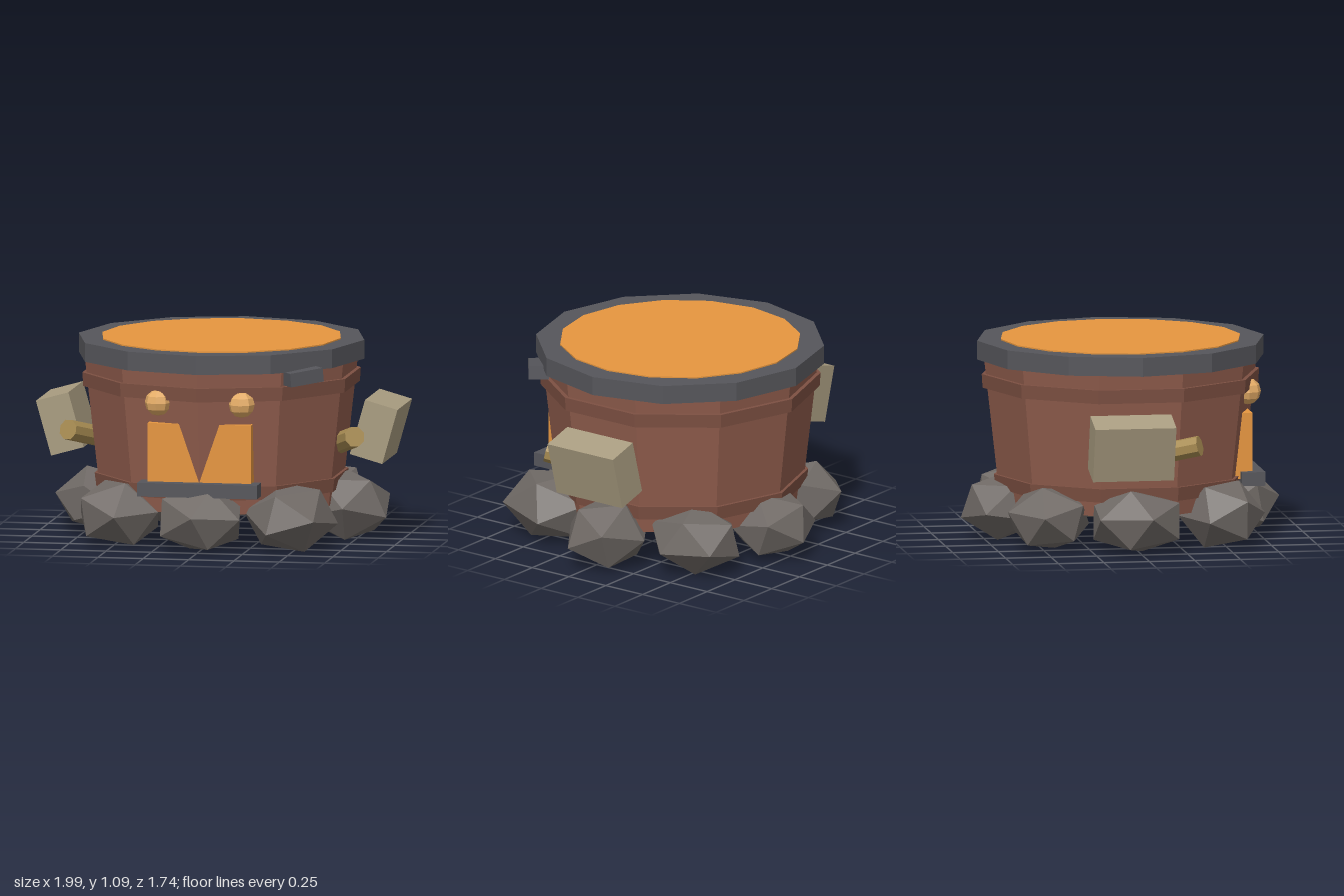
import * as THREE from 'three';

const COLORS = {
  wood: 0x8f5c4c, band: 0x7d5042, iron: 0x56565b, glow: 0xe6963f, eye: 0xe3ab66,
  stone: 0x6f6965, mallet: 0xa99c80, handle: 0xa88c52,
};
const materials = {};
for (const [key, color] of Object.entries(COLORS)) {
  materials[key] = new THREE.MeshStandardMaterial({ color, flatShading: true });
}

export function createModel() {
  const model = new THREE.Group();

  function add(name, geometry, material, x = 0, y = 0, z = 0) {
    const mesh = new THREE.Mesh(geometry, materials[material]);
    mesh.name = name;
    mesh.position.set(x, y, z);
    model.add(mesh);
    return mesh;
  }
  // Upright faceted drum between two heights
  function drum(name, material, rTop, rBottom, y0, y1, sides) {
    return add(name, new THREE.CylinderGeometry(rTop, rBottom, y1 - y0, sides), material, 0, (y0 + y1) / 2, 0);
  }

  // Barrel, hoops, rim and glowing top
  drum('barrel', 'wood', 0.75, 0.66, 0.2, 1.0, 10);
  drum('lowerHoop', 'band', 0.695, 0.685, 0.28, 0.355, 10);
  drum('upperHoop', 'band', 0.762, 0.757, 0.83, 0.905, 10);
  drum('rim', 'iron', 0.787, 0.787, 0.985, 1.088, 12);
  drum('glowingTop', 'glow', 0.657, 0.657, 1.0, 1.095, 16);

  // Mouth: the barrel's front edge pokes through and leaves the V between the teeth
  add('mouth', new THREE.BoxGeometry(0.57, 0.36, 0.16), 'glow', 0, 0.52, 0.6);
  add('lip', new THREE.BoxGeometry(0.66, 0.075, 0.13), 'iron', 0, 0.343, 0.68);

  // Loose plate under the rim
  const plate = add('rimPlate', new THREE.BoxGeometry(0.2, 0.075, 0.11), 'iron', 0.545, 0.958, 0.55);
  plate.rotation.set(0, 0.66, 0.1);

  for (const [side, s] of [['left', 1], ['right', -1]]) {
    add(side + 'Eye', new THREE.SphereGeometry(0.073, 8, 6), 'eye', s * 0.23, 0.812, 0.662);

    // Arm stub running from inside the barrel to the front
    const start = new THREE.Vector3(s * 0.62, 0.505, -0.05);
    const end = new THREE.Vector3(s * 0.79, 0.6, 0.31);
    const dir = end.clone().sub(start);
    const arm = add(side + 'Arm', new THREE.CylinderGeometry(0.057, 0.057, dir.length(), 8), 'handle');
    arm.position.copy(start).add(end).multiplyScalar(0.5);
    arm.quaternion.setFromUnitVectors(new THREE.Vector3(0, 1, 0), dir.normalize());

    // Hand block leaning outwards
    const block = add(side + 'HandBlock', new THREE.BoxGeometry(0.186, 0.31, 0.445), 'mallet', s * 0.865, 0.606, -0.073);
    block.rotation.z = -s * 0.275;
  }

  // Ring of boulders: centre x, z, then width and depth
  const boulders = [
    [0, 0.645, 0.47, 0.45], [0.47, 0.49, 0.5, 0.54], [0.685, -0.025, 0.47, 0.47], [0.485, -0.47, 0.47, 0.46],
    [0.02, -0.645, 0.44, 0.45], [-0.475, -0.47, 0.46, 0.46], [-0.68, -0.02, 0.46, 0.46], [-0.475, 0.48, 0.46, 0.48],
  ];
  boulders.forEach(([x, z, w, d], i) => {
    const geometry = new THREE.IcosahedronGeometry(1, 0);
    geometry.rotateX(0.4 + i * 1.3);
    geometry.rotateY(i * 2.1);
    geometry.rotateZ(0.3 + i * 0.7);
    geometry.computeBoundingBox();
    const size = geometry.boundingBox.getSize(new THREE.Vector3());
    geometry.scale(w / size.x, 0.35 / size.y, d / size.z);
    add('boulder' + (i + 1), geometry, 'stone', x, 0.178, z);
  });

  return model;
}
